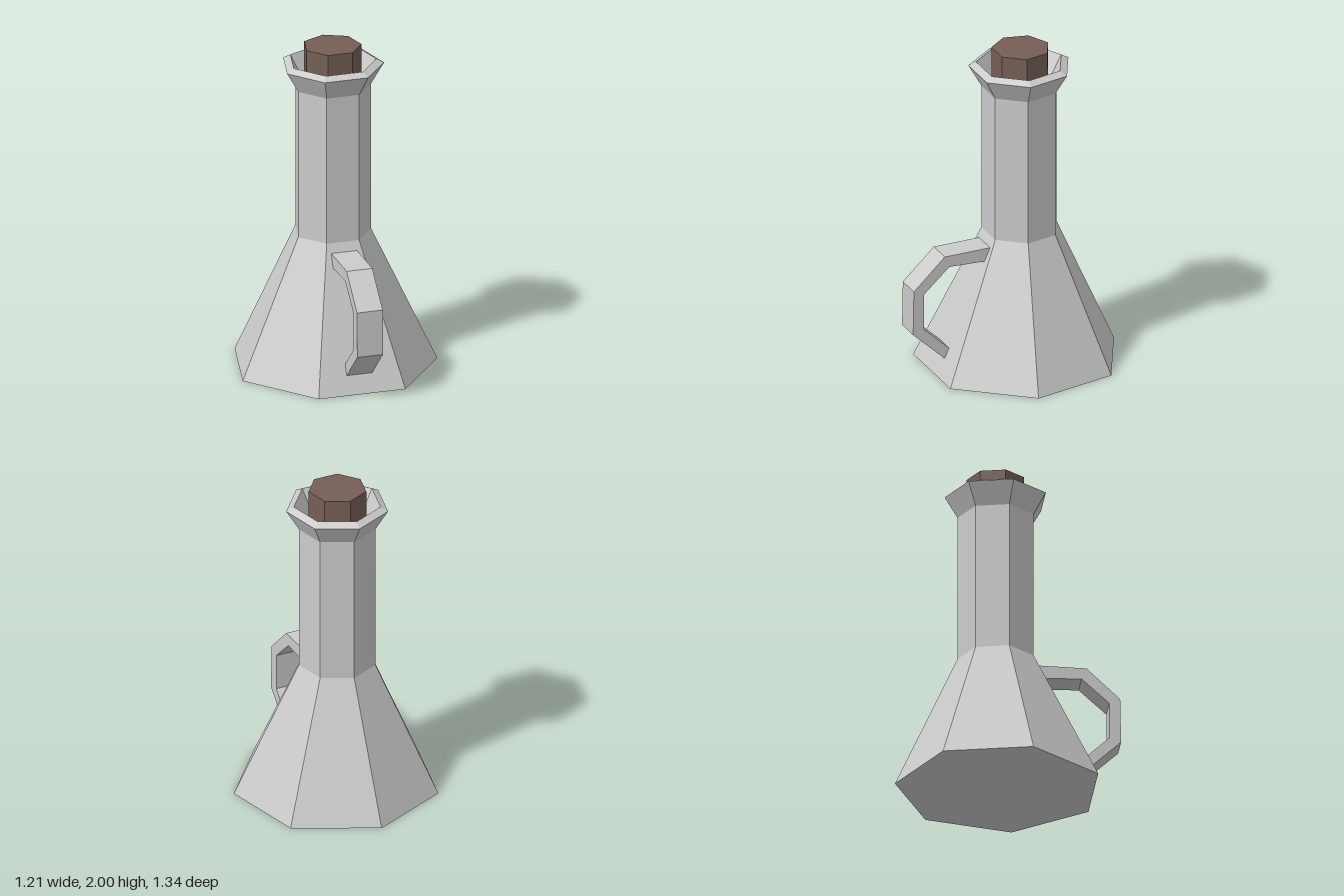
import * as THREE from 'three';

const SIDES = 7;
const NECK_Z = -0.061;
const BASE_Z = -0.045;

function addMesh(group, name, geometry, color = 0xcccccc) {
  const material = new THREE.MeshStandardMaterial({ color, flatShading: true });
  const mesh = new THREE.Mesh(geometry, material);
  mesh.name = name;
  group.add(mesh);
  return mesh;
}

export function createModel() {
  const group = new THREE.Group();
  group.name = 'flask';

  // Flask: closed base, flared body, straight neck, lip and hollow mouth
  const profile = [
    [0, 0], [0.62, 0], [0.232, 0.83], [0.232, 1.75],
    [0.309, 1.88], [0.263, 1.905], [0.18, 1.75], [0, 1.75],
  ].map(([r, y]) => new THREE.Vector2(r, y));
  const flask = new THREE.LatheGeometry(profile, SIDES, Math.PI);
  // The neck sits slightly behind the centre of the base
  const pos = flask.attributes.position;
  for (let i = 0; i < pos.count; i++) {
    pos.setZ(i, pos.getZ(i) + (pos.getY(i) > 0.5 ? NECK_Z : BASE_Z));
  }
  addMesh(group, 'flaskBody', flask);

  // Stopper
  const stopper = new THREE.CylinderGeometry(0.175, 0.175, 0.25, SIDES, 1, false, Math.PI);
  stopper.translate(0, 1.875, NECK_Z - 0.003);
  addMesh(group, 'stopper', stopper, 0x755e56);

  // Handle: side outline as (z, y), extruded across x
  const outline = [
    [0.16, 0.775], [0.465, 0.77], [0.665, 0.58], [0.67, 0.3], [0.467, 0.11],
    [0.43, 0.165], [0.6, 0.325], [0.6, 0.55], [0.435, 0.7], [0.19, 0.692],
  ].map(([z, y]) => new THREE.Vector2(z, y));
  const handle = new THREE.ExtrudeGeometry(new THREE.Shape(outline), { depth: 0.16, bevelEnabled: false });
  handle.rotateY(-Math.PI / 2).translate(0.08, 0, 0);
  addMesh(group, 'handle', handle);

  return group;
}
